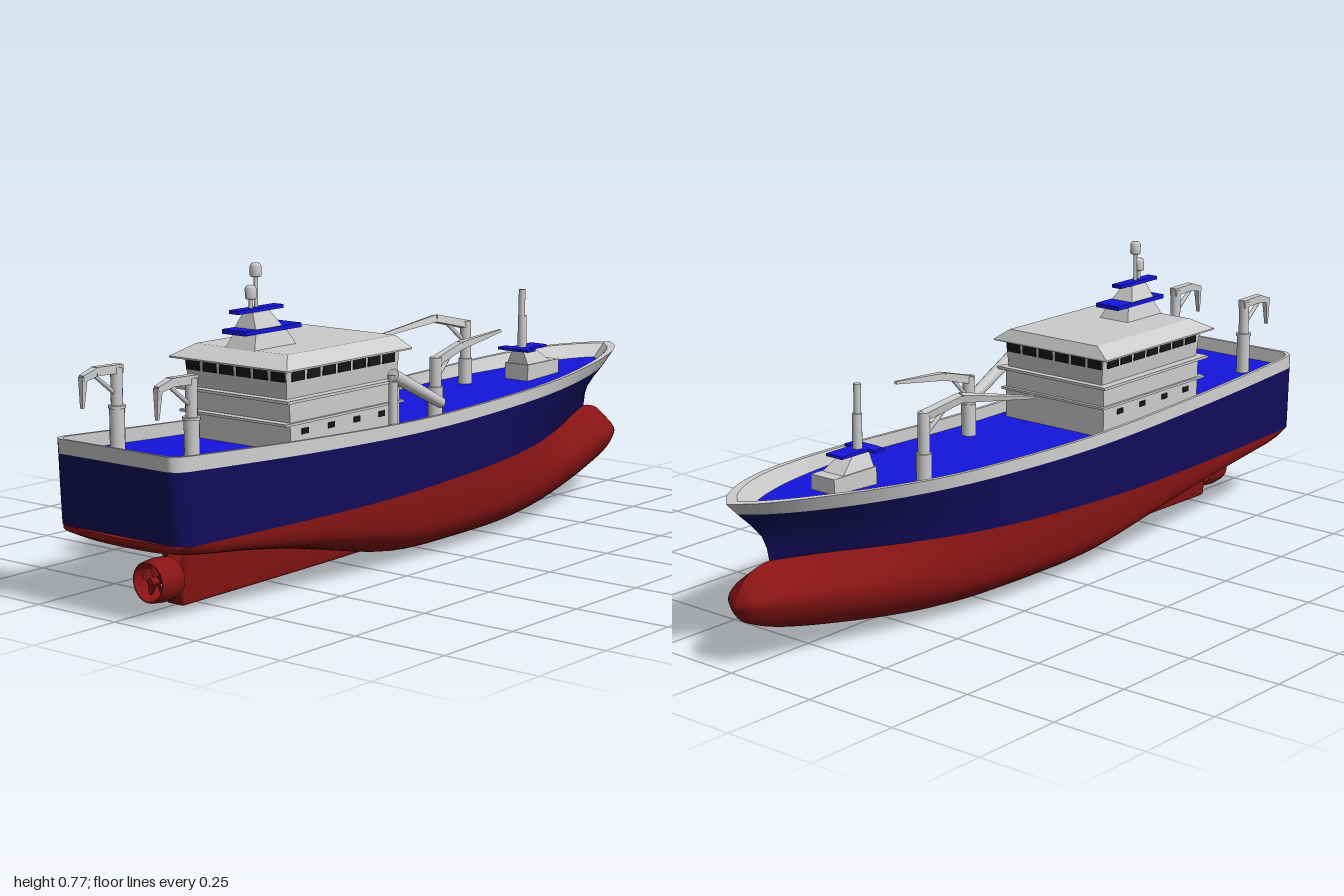
import * as THREE from 'three';

const paint = (color, side = THREE.FrontSide) => new THREE.MeshStandardMaterial({ color, side });
const GREY = paint(0xcccccc), GREY2 = paint(0xcccccc, THREE.DoubleSide);
const DECK = paint(0x1414dd, THREE.DoubleSide), NAVY = paint(0x120a58, THREE.DoubleSide);
const RED = paint(0x881414, THREE.DoubleSide), DARK = paint(0x151515);
const V = (x, y, z) => new THREE.Vector3(x, y, z);
const lerp = THREE.MathUtils.lerp;

// smooth lookup in a short list of [z, value] pairs, z falling from stern to bow
function look(keys, z) {
  const n = keys.length - 1;
  if (z >= keys[0][0]) return keys[0][1];
  if (z <= keys[n][0]) return keys[n][1];
  let i = 0;
  while (z < keys[i + 1][0]) i++;
  const slope = (a, b) => (keys[b][1] - keys[a][1]) / (keys[b][0] - keys[a][0]);
  const d = slope(i, i + 1), h = keys[i + 1][0] - keys[i][0], t = (z - keys[i][0]) / h;
  const tangent = (a, b) => (a < 0 || b > n ? d : (slope(a, a + 1) * slope(b - 1, b) <= 0 ? 0 : slope(a, b)));
  const m0 = tangent(i - 1, i + 1) * h, m1 = tangent(i, i + 2) * h, t2 = t * t, t3 = t2 * t;
  return (2 * t3 - 3 * t2 + 1) * keys[i][1] + (t3 - 2 * t2 + t) * m0 + (3 * t2 - 2 * t3) * keys[i + 1][1] + (t3 - t2) * m1;
}

// hull lines
const waterY = [[0.985, 0.2], [0.3, 0.19], [0, 0.2], [-0.5, 0.225], [-0.87, 0.24], [-0.93, 0.228], [-0.97, 0.195], [-0.985, 0.155]];
const bandY = [[1, 0.37], [0.5, 0.345], [0.1, 0.335], [-0.4, 0.35], [-0.97, 0.375]];
const railY = [[1, 0.405], [0.5, 0.378], [0.1, 0.367], [-0.4, 0.382], [-0.8, 0.404], [-1, 0.408]];
const keelY = [[0.985, 0.182], [0.95, 0.165], [0.75, 0.135], [0.5, 0.09], [0.3, 0.045], [0.15, 0.014], [0, 0.003], [-0.3, 0.004], [-0.5, 0.018], [-0.8, 0.065], [-0.95, 0.11], [-0.985, 0.155]];
const bilgeW = [[0.985, 0.18], [0.9, 0.2], [0.5, 0.206], [0, 0.206], [-0.3, 0.196], [-0.5, 0.165], [-0.7, 0.12], [-0.85, 0.08], [-0.93, 0.06], [-0.97, 0.034], [-0.985, 0]];
const waterW = [[1, 0.17], [0.985, 0.193], [0.95, 0.203], [0.5, 0.21], [0, 0.21], [-0.3, 0.2], [-0.5, 0.17], [-0.7, 0.11], [-0.85, 0.055], [-1, 0]];
const railW = [[1, 0.17], [0.985, 0.189], [0.95, 0.196], [0.5, 0.2], [-0.3, 0.199], [-0.5, 0.186], [-0.7, 0.152], [-0.85, 0.105], [-0.95, 0.05], [-1, 0]];
const bowZ = [[1, -1], [0.8, -0.965], [0.5, -0.905], [0.25, -0.88], [0, -0.87]];
const stations = [1, 0.994, 0.985, 0.97, 0.95];
for (let i = 1; i <= 44; i++) stations.push(0.95 - 1.95 * Math.sin((i / 44) * Math.PI / 2));

// point on the topsides: v = 0 waterline, 0.8 bulwark foot, 1 rail
function sidePoint(s, v, inset = 0) {
  const z = lerp(lerp(0.985, 1, v) - inset, look(bowZ, v) + inset * 3, (1 - s) / 2);
  const y = v < 0.8 ? lerp(look(waterY, z), look(bandY, z), v / 0.8) : lerp(look(bandY, z), look(railY, z), (v - 0.8) / 0.2);
  return V(Math.max(0, lerp(look(waterW, s), look(railW, s), v) - inset), y, z);
}
const mirror = p => V(-p.x, p.y, p.z);

// full outline of one level, bow to stern to bow
function outline(v, inset) {
  const half = stations.map(s => sidePoint(s, v, inset));
  return [...half.slice().reverse(), ...half.map(mirror)];
}

// skin over rings of equal point counts
function loft(rings) {
  const n = rings[0].length, index = [];
  for (let i = 0; i < rings.length - 1; i++) for (let j = 0; j < n - 1; j++) {
    const a = i * n + j, b = a + n;
    index.push(a, b, a + 1, b, b + 1, a + 1);
  }
  const g = new THREE.BufferGeometry().setFromPoints(rings.flat());
  g.setIndex(index);
  g.computeVertexNormals();
  return g;
}

export function createModel() {
  const root = new THREE.Group();
  const add = (name, geo, mat, x = 0, y = 0, z = 0, parent = root) => {
    const m = new THREE.Mesh(geo, mat);
    m.name = name;
    m.position.set(x, y, z);
    parent.add(m);
    return m;
  };
  const box = (name, w, h, d, x, y, z, mat = GREY) => add(name, new THREE.BoxGeometry(w, h, d), mat, x, y, z);
  const post = (name, r, y0, y1, x, z, mat = GREY, r1 = r) => add(name, new THREE.CylinderGeometry(r1, r, y1 - y0, 16), mat, x, (y0 + y1) / 2, z);
  // straight member between two points
  const rod = (name, a, b, r0, r1, sides = 4, mat = GREY) => {
    const g = new THREE.CylinderGeometry(r1, r0, a.distanceTo(b), sides);
    if (sides === 4) { g.rotateY(Math.PI / 4); Object.assign(g, g.toNonIndexed()); g.computeVertexNormals(); }
    const m = add(name, g, mat);
    m.position.copy(a).add(b).multiplyScalar(0.5);
    m.quaternion.setFromUnitVectors(V(0, 1, 0), b.clone().sub(a).normalize());
    return m;
  };
  // box whose bottom and top rectangles differ: [x half, z min, z max]
  const taper = (name, bottom, top, y0, y1, mat = GREY) => {
    const g = new THREE.BoxGeometry(2, 1, 2), p = g.attributes.position;
    for (let i = 0; i < p.count; i++) {
      const r = p.getY(i) > 0 ? top : bottom;
      p.setXYZ(i, p.getX(i) * r[0], p.getY(i) > 0 ? y1 : y0, p.getZ(i) > 0 ? r[2] : r[1]);
    }
    g.computeVertexNormals();
    return add(name, g, mat);
  };

  // underwater hull with bulbous bow
  const levels = stations.map(s => [sidePoint(s, 0).z, sidePoint(s, 0).x]);
  for (let i = 1; i <= 10; i++) levels.push([-0.87 - 0.115 * Math.sin((i / 10) * Math.PI / 2), 0]);
  const redRings = levels.map(([z, top]) => {
    const k = look(keelY, z), w = look(waterY, z), h = w - k;
    const B = z > 0.9 ? Math.min(look(bilgeW, z), top) : look(bilgeW, z);
    const half = new THREE.SplineCurve([[0, k], [0.5 * B, k + 0.05 * h], [0.9 * B, k + 0.28 * h], [B, k + 0.6 * h], [top, w]]
      .map(q => new THREE.Vector2(...q))).getPoints(16).map(q => V(Math.max(0, q.x), q.y, z));
    return [...half.slice().reverse(), ...half.slice(1).map(mirror)];
  });
  redRings.unshift(redRings[0].map(p => V(0, 0.195, p.z)));
  add('lowerHull', loft(redRings), RED);

  // topsides, bulwark and deck
  add('upperHull', loft([0, 0.2, 0.4, 0.6, 0.8].map(v => outline(v))), NAVY);
  add('bulwarkOutside', loft([outline(0.8), outline(1)]), GREY2);
  add('bulwarkRail', loft([outline(1), outline(1, 0.009)]), GREY2);
  add('bulwarkInside', loft([outline(1, 0.009), outline(0.8, 0.011)]), GREY2);
  add('deck', loft(stations.map(s => sidePoint(s, 0.8, 0.011)).map(p => [p, mirror(p)])), DECK);

  // skeg, nozzle and propeller
  const skeg = [[0.8, 0.045], [0.6, 0.036], [0.4, 0.026], [0.25, 0.016], [0.12, 0.002]].map(([z, w]) => {
    const top = look(keelY, z) + 0.02;
    return [V(w, top, z), V(w * 0.7, 0.01, z), V(w * 0.5, 0.003, z), V(-w * 0.5, 0.003, z), V(-w * 0.7, 0.01, z), V(-w, top, z)];
  });
  skeg.unshift(skeg[0].map(p => V(0, 0.07, p.z)));
  add('skeg', loft(skeg), RED);
  const ring = [[0.043, -0.035], [0.05, -0.035], [0.053, 0], [0.049, 0.035], [0.044, 0.035], [0.041, 0], [0.043, -0.035]];
  add('propellerNozzle', new THREE.LatheGeometry(ring.map(q => new THREE.Vector2(...q)), 28).rotateX(Math.PI / 2), RED, 0, 0.072, 0.855);
  rod('propellerShaft', V(0, 0.072, 0.78), V(0, 0.072, 0.885), 0.014, 0.009, 14, RED);
  const blade = new THREE.Shape().moveTo(-0.004, 0).quadraticCurveTo(-0.022, 0.03, -0.008, 0.04).quadraticCurveTo(0.014, 0.043, 0.016, 0.03).quadraticCurveTo(0.01, 0.015, 0.004, 0);
  for (let i = 0; i < 5; i++) {
    const g = new THREE.ExtrudeGeometry(blade, { depth: 0.003, bevelEnabled: false }).rotateY(0.5).rotateZ(i * Math.PI * 0.4);
    add('propellerBlade', g, RED, 0, 0.072, 0.86);
  }

  // deckhouse
  taper('lowerHouse', [0.163, 0.17, 0.575], [0.163, 0.17, 0.58], 0.33, 0.47);
  taper('wheelhouse', [0.155, 0.172, 0.58], [0.162, 0.168, 0.59], 0.47, 0.547);
  box('lowerLedge', 0.34, 0.006, 0.44, 0, 0.415, 0.38);
  box('upperLedge', 0.358, 0.007, 0.45, 0, 0.47, 0.378);
  taper('roofEaves', [0.187, 0.15, 0.616], [0.187, 0.15, 0.616], 0.543, 0.547);
  taper('roof', [0.187, 0.15, 0.616], [0.145, 0.165, 0.565], 0.547, 0.576);
  for (let i = 0; i < 6; i++) {
    const x = (i - 2.5) * 0.054;
    box('aftWindow', 0.043, 0.025, 0.006, x, 0.527, 0.587, DARK);
    box('forwardWindow', 0.043, 0.025, 0.006, x, 0.527, 0.169, DARK);
  }
  for (const s of [1, -1]) {
    for (let i = 0; i < 7; i++) box('sideWindow', 0.006, 0.025, 0.045, s * 0.16, 0.527, 0.21 + i * 0.056, DARK);
    for (let i = 0; i < 4; i++) box('cabinWindow', 0.004, 0.014, 0.024, s * 0.163, 0.393, 0.24 + i * 0.095, DARK);
  }

  // roof tower with platforms and antenna domes
  taper('towerBase', [0.047, 0.42, 0.57], [0.034, 0.44, 0.55], 0.574, 0.612);
  box('lowerPlatform', 0.074, 0.011, 0.2, 0, 0.617, 0.49, DECK);
  taper('towerTop', [0.034, 0.455, 0.55], [0.015, 0.48, 0.54], 0.622, 0.66);
  box('upperPlatform', 0.03, 0.009, 0.16, 0, 0.665, 0.51, DECK);
  for (const [x, z, y] of [[0.005, 0.535, 0.692], [-0.003, 0.508, 0.742]]) {
    post('antennaPole', 0.005, 0.667, y, x, z);
    const dome = [[0, 0], [0.012, 0], [0.014, 0.004], [0.014, 0.025], [0.01, 0.032], [0, 0.034]];
    add('antennaDome', new THREE.LatheGeometry(dome.map(q => new THREE.Vector2(...q)), 16), GREY, x, y, z);
  }

  // sloping boom beside the house
  rod('sideBoom', V(0.186, 0.488, 0.225), V(0.184, 0.393, 0.03), 0.017, 0.014, 16);
  post('sideBoomPost', 0.012, 0.34, 0.488, 0.184, 0.22);

  // deck cranes: foot, top, knuckle and tip
  for (const [x, z, top, knee, tip] of [
    [-0.095, -0.44, 0.522, V(-0.115, 0.538, -0.33), V(-0.162, 0.502, -0.11)],
    [0.12, -0.03, 0.494, V(0.12, 0.512, -0.13), V(0.12, 0.53, -0.305)]]) {
    const head = V(x, top - 0.01, z);
    post('craneBase', 0.019, 0.33, 0.42, x, z);
    post('cranePost', 0.015, 0.42, top, x, z);
    rod('craneArm', head, knee, 0.015, 0.014);
    rod('craneJib', knee, tip, 0.014, 0.005);
    rod('craneRam', V(x, top - 0.06, z), head.clone().lerp(knee, 0.7), 0.006, 0.005, 8);
  }

  // stern cranes
  for (const x of [-0.105, 0.13]) {
    post('sternCraneBase', 0.018, 0.35, 0.468, x, 0.875);
    post('sternCraneCollar', 0.021, 0.466, 0.473, x, 0.875);
    post('sternCranePost', 0.014, 0.473, 0.562, x, 0.875);
    rod('sternCraneArm', V(x, 0.557, 0.862), V(x, 0.56, 0.945), 0.015, 0.014);
    rod('sternCraneElbow', V(x, 0.56, 0.94), V(x, 0.548, 0.984), 0.014, 0.011);
    rod('sternCraneTip', V(x, 0.552, 0.981), V(x, 0.48, 0.985), 0.011, 0.005);
    rod('sternCraneRam', V(x, 0.5, 0.88), V(x, 0.55, 0.945), 0.006, 0.005, 8);
  }

  // foremast on its pedestal
  taper('foremastPlinth', [0.038, -0.69, -0.545], [0.038, -0.69, -0.545], 0.35, 0.4);
  taper('foremastPedestal', [0.034, -0.655, -0.55], [0.018, -0.605, -0.55], 0.4, 0.437);
  taper('foremastPlatform', [0.026, -0.65, -0.525], [0.026, -0.65, -0.525], 0.437, 0.444, DECK).geometry.attributes.position.needsUpdate = true;
  box('foremastPlatformAft', 0.1, 0.007, 0.035, 0, 0.4405, -0.545, DECK);
  post('foremast', 0.012, 0.444, 0.53, 0, -0.57);
  post('foremastTop', 0.009, 0.53, 0.602, 0, -0.568);
  return root;
}
